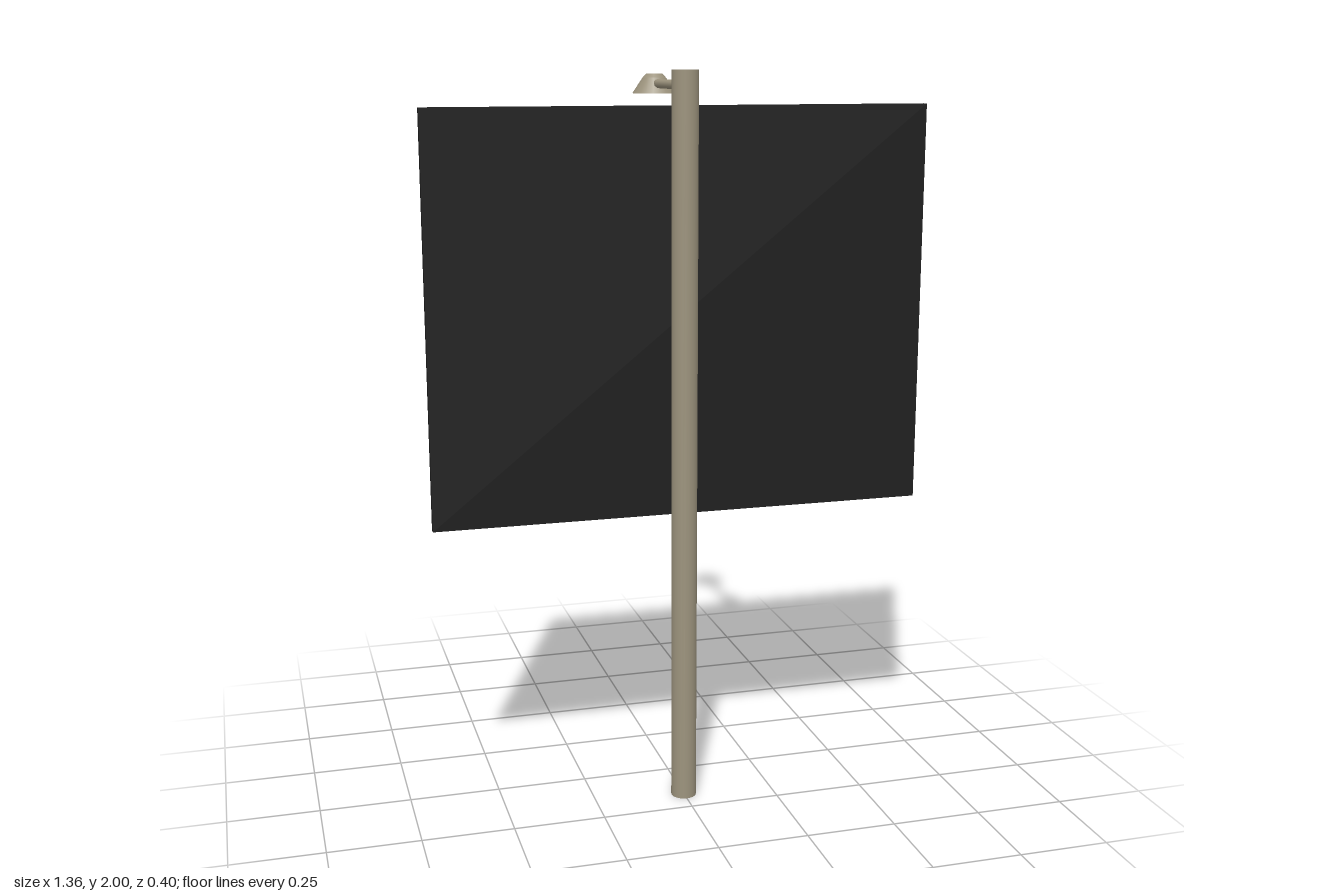
import * as THREE from 'three';

export function createModel() {
  const model = new THREE.Group();
  const mat = (name, color) => {
    const m = new THREE.MeshStandardMaterial({ color });
    m.name = name;
    return m;
  };
  const metal = mat('weathered beige metal', 0x9c937d);
  const black = mat('board black', 0x1e1e1e);
  const grey = mat('notice pale grey', 0xb2b8b4);

  const add = (name, geometry, material, x, y, z) => {
    const mesh = new THREE.Mesh(geometry, material);
    mesh.name = name;
    mesh.position.set(x, y, z);
    model.add(mesh);
    return mesh;
  };

  // Upright pole
  add('pole', new THREE.CylinderGeometry(0.035, 0.035, 2, 24), metal, 0, 1, 0.165);

  // Board fixed behind the pole, with a notice on its back
  add('board', new THREE.BoxGeometry(1.36, 1.09, 0.018), black, 0, 1.365, 0.139);
  add('notice', new THREE.BoxGeometry(0.4, 0.68, 0.007), grey, 0, 1.37, 0.1275);

  // Arm reaching from the pole to the lamp
  const arm = add('lampArm', new THREE.CylinderGeometry(0.012, 0.012, 0.275, 12), metal, 0, 1.961, 0.0275);
  arm.rotation.x = Math.PI / 2;

  // Conical lamp shade with a bevelled crown and closed underside
  const lamp = new THREE.Group();
  lamp.name = 'lamp';
  lamp.position.set(0, 1.935, -0.14);
  const rings = [[0, 0], [0.06, 0], [0.032, 0.042], [0.022, 0.052], [0, 0.052]];
  const parts = ['lampUnderside', 'lampShade', 'lampBevel', 'lampCrown'];
  parts.forEach((name, i) => {
    const profile = rings.slice(i, i + 2).map(([r, y]) => new THREE.Vector2(r, y));
    const mesh = new THREE.Mesh(new THREE.LatheGeometry(profile, 20), metal);
    mesh.name = name;
    lamp.add(mesh);
  });
  model.add(lamp);

  return model;
}
